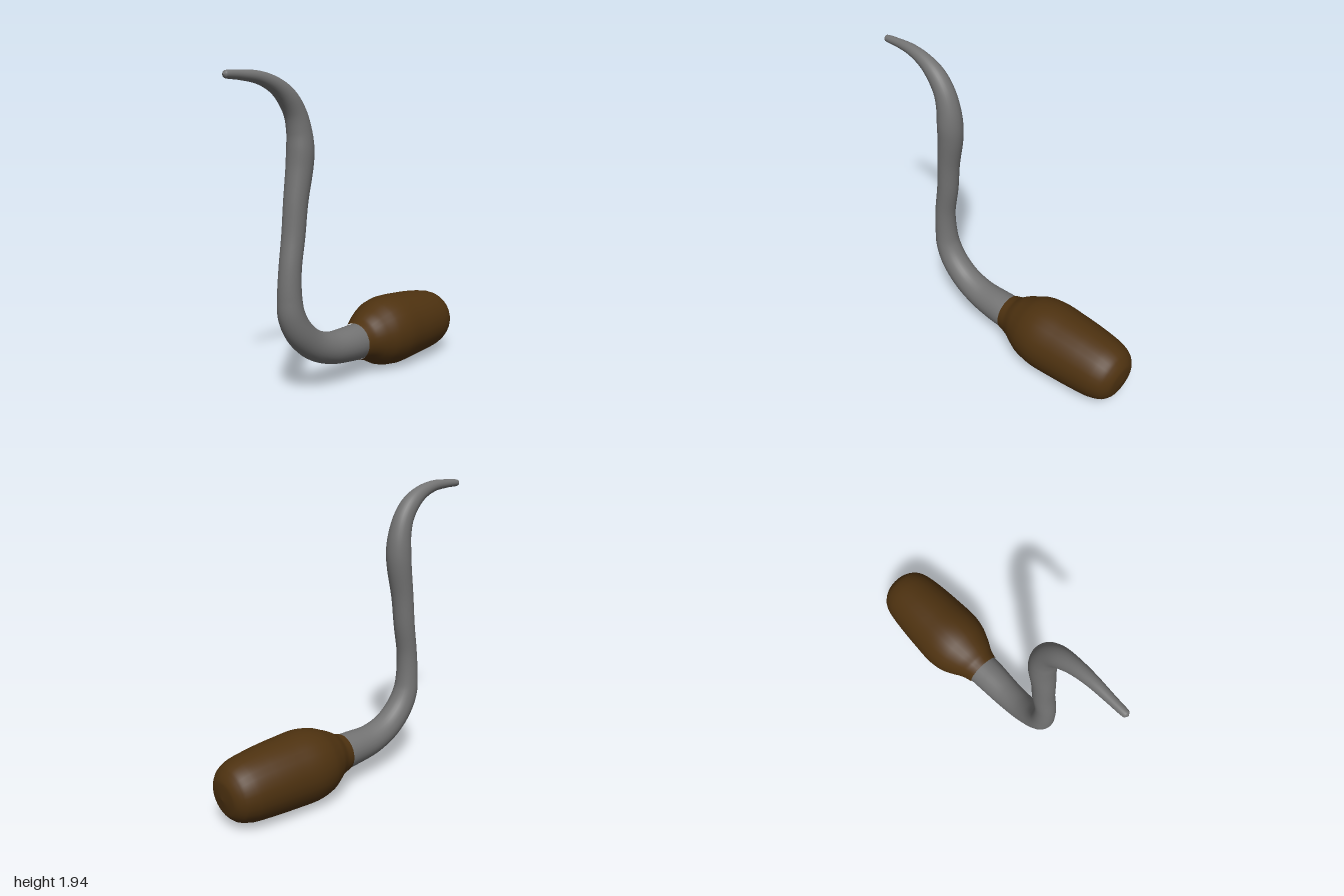
import * as THREE from 'three';

const SIDES = 28;

// Round sweep through sections [x, y, z, radius], lying mostly in the xy plane
function sweep(sections, steps) {
  const path = new THREE.CatmullRomCurve3(sections.map(([x, y, z]) => new THREE.Vector3(x, y, z)));
  const radii = new THREE.CatmullRomCurve3(
    sections.map((s, i) => new THREE.Vector3(s[3], i, 0)), false, 'catmullrom', 0.5);
  const zAxis = new THREE.Vector3(0, 0, 1);
  const positions = [], index = [];
  for (let i = 0; i <= steps; i++) {
    const t = i / steps;
    const c = path.getPoint(t);
    const r = Math.max(0, radii.getPoint(t).x);
    const n = zAxis.clone().cross(path.getTangent(t)).normalize();
    for (let j = 0; j < SIDES; j++) {
      const a = (j / SIDES) * Math.PI * 2;
      const p = c.clone().addScaledVector(n, r * Math.cos(a)).addScaledVector(zAxis, r * Math.sin(a));
      positions.push(p.x, p.y, p.z);
      if (i === steps) continue;
      const k = (j + 1) % SIDES, lo = i * SIDES, hi = lo + SIDES;
      index.push(lo + j, lo + k, hi + j, lo + k, hi + k, hi + j);
    }
  }
  const geometry = new THREE.BufferGeometry();
  geometry.setAttribute('position', new THREE.Float32BufferAttribute(positions, 3));
  geometry.setIndex(index);
  geometry.computeVertexNormals();
  return geometry;
}

export function createModel() {
  const group = new THREE.Group();
  const metal = new THREE.MeshStandardMaterial({ name: 'greyMetal', color: 0x737373 });
  const wood = new THREE.MeshStandardMaterial({ name: 'darkBrown', color: 0x4e3210 });

  // Bent shaft tapering to a hooked tip
  const shaft = new THREE.Mesh(sweep([
    [0.10, 0.23, 0.007, 0.117],
    [0.00, 0.233, 0.01, 0.114],
    [-0.19, 0.25, 0.008, 0.102],
    [-0.34, 0.308, 0.005, 0.094],
    [-0.455, 0.41, 0.003, 0.089],
    [-0.514, 0.52, 0, 0.083],
    [-0.529, 0.63, 0, 0.075],
    [-0.525, 0.80, 0.002, 0.069],
    [-0.493, 1.00, 0, 0.071],
    [-0.472, 1.20, 0.002, 0.074],
    [-0.441, 1.40, 0.005, 0.082],
    [-0.436, 1.50, 0.008, 0.083],
    [-0.443, 1.60, 0.008, 0.076],
    [-0.475, 1.71, 0.007, 0.067],
    [-0.54, 1.80, 0.006, 0.06],
    [-0.63, 1.863, 0.005, 0.048],
    [-0.75, 1.902, 0.003, 0.037],
    [-0.88, 1.912, 0, 0.028],
    [-0.985, 1.912, 0, 0.021],
    [-1.0, 1.912, 0, 0],
  ], 152), metal);
  shaft.name = 'shaft';

  // Bulging grip with a rounded end
  const handle = new THREE.Mesh(sweep([
    [0.065, 0.231, 0.007, 0.121],
    [0.13, 0.231, 0.006, 0.14],
    [0.20, 0.235, 0.003, 0.178],
    [0.29, 0.236, 0, 0.217],
    [0.40, 0.239, 0, 0.235],
    [0.55, 0.237, 0, 0.23],
    [0.72, 0.233, 0, 0.218],
    [0.86, 0.226, 0, 0.2],
    [0.94, 0.217, 0, 0.168],
    [0.985, 0.212, 0, 0.108],
    [1.0, 0.21, 0, 0],
  ], 80), wood);
  handle.name = 'handle';

  group.add(shaft, handle);
  return group;
}
